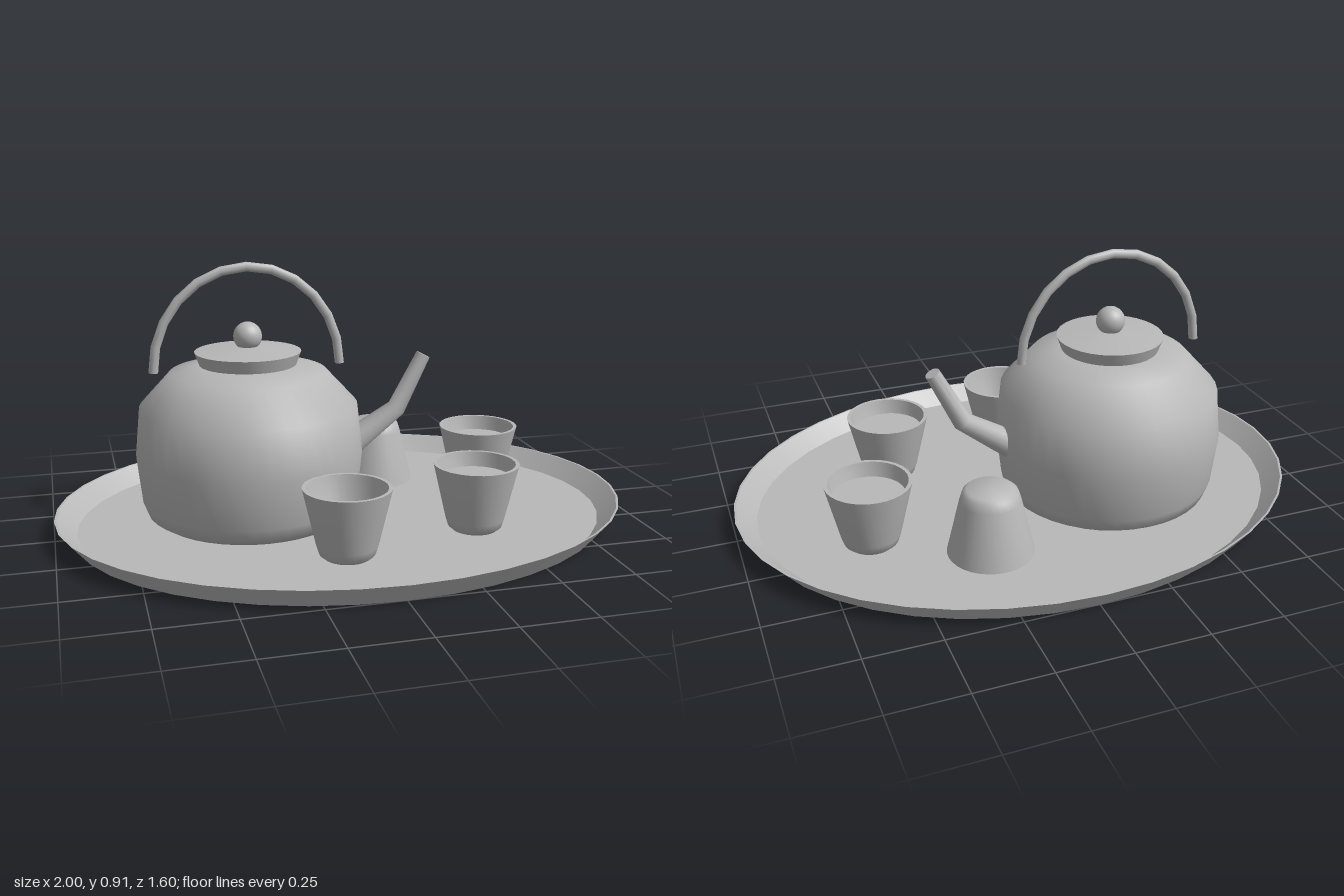
import * as THREE from 'three';
import { toCreasedNormals } from 'three/addons/utils/BufferGeometryUtils.js';

export function createModel() {
  const model = new THREE.Group();
  model.name = 'teaSet';

  const clay = new THREE.MeshStandardMaterial({ color: 0xb8b8b8 });
  clay.name = 'grey clay';

  const add = (name, geometry, parent, x = 0, y = 0, z = 0) => {
    const mesh = new THREE.Mesh(geometry, clay);
    mesh.name = name;
    mesh.position.set(x, y, z);
    parent.add(mesh);
    return mesh;
  };

  // Turned shape from [radius, height] pairs, running up the outside
  const turn = (profile, segments, crease = 0.6, depth = 1) => {
    const points = profile.map(([r, y]) => new THREE.Vector2(r, y));
    const geometry = new THREE.LatheGeometry(points, segments).scale(1, 1, depth);
    return toCreasedNormals(geometry, crease);
  };

  // Oval tray with a flared rim
  const floorY = 0.012;
  add('tray', turn([
    [0, 0], [0.94, 0], [1, 0.07], [0.992, 0.07], [0.927, floorY], [0, floorY],
  ], 40, 0.6, 0.8), model);

  // Kettle
  const kettle = new THREE.Group();
  kettle.name = 'kettle';
  kettle.position.set(-0.315, 0, -0.09);
  model.add(kettle);

  add('kettleBody', turn([
    [0, 0.014], [0.33, 0.014], [0.362, 0.035], [0.379, 0.08], [0.397, 0.245],
    [0.38, 0.412], [0.272, 0.53], [0.17, 0.555], [0, 0.555],
  ], 40, 0.85), kettle);

  add('lid', turn([
    [0, 0.55], [0.167, 0.55], [0.185, 0.6], [0.05, 0.617], [0, 0.617],
  ], 32), kettle);

  add('lidKnob', new THREE.SphereGeometry(0.05, 20, 14), kettle, 0, 0.652, 0);

  // Arched handle with closed ends
  const archPoints = [];
  for (let i = 0; i <= 24; i++) {
    const a = Math.PI * (1 - i / 24);
    archPoints.push(new THREE.Vector3(0.327 * Math.cos(a), 0.54 + 0.352 * Math.sin(a), 0));
  }
  const arch = new THREE.CatmullRomCurve3(archPoints);
  add('handle', new THREE.TubeGeometry(arch, 12, 0.0165, 8), kettle);
  for (const side of [-1, 1]) {
    const cap = add('handleEnd', new THREE.CircleGeometry(0.0165, 8), kettle, side * 0.327, 0.54, 0);
    cap.rotation.x = Math.PI / 2;
  }

  // Bent, tapering spout: a tube whose rings are narrowed along its length
  const spoutPath = [[0.27, 0.175], [0.54, 0.36], [0.64, 0.553]]
    .map(([x, y]) => new THREE.Vector3(x, y, 0));
  const spoutRadii = [0.058, 0.034, 0.026];
  const sides = 16;
  const tilts = [0.6, 0.86, 1.09]; // direction of travel at each ring
  const positions = [];
  const indices = [];
  spoutPath.forEach((p, ring) => {
    for (let i = 0; i < sides; i++) {
      const a = (i / sides) * Math.PI * 2;
      const up = Math.cos(a) * spoutRadii[ring];
      positions.push(
        p.x - Math.sin(tilts[ring]) * up,
        p.y + Math.cos(tilts[ring]) * up,
        Math.sin(a) * spoutRadii[ring],
      );
      if (ring === 2) continue;
      const j = (i + 1) % sides;
      const [a0, b0] = [ring * sides + i, ring * sides + j];
      indices.push(a0, b0, a0 + sides, b0, b0 + sides, a0 + sides);
    }
  });
  for (let i = 1; i < sides - 1; i++) indices.push(2 * sides, 2 * sides + i, 2 * sides + i + 1);
  const spout = new THREE.BufferGeometry();
  spout.setAttribute('position', new THREE.Float32BufferAttribute(positions, 3));
  spout.setIndex(indices);
  add('spout', toCreasedNormals(spout, 0.7), kettle);

  // Cups: two filled, one empty, one upside down
  const cupHeight = 0.233;
  const cupGeometry = turn([
    [0, 0], [0.078, 0], [0.092, 0.012], [0.101, 0.04], [0.146, cupHeight],
    [0.133, cupHeight], [0.092, 0.045], [0.077, 0.022], [0, 0.022],
  ], 32, 0.75);
  const cups = [
    { x: 0.58, z: -0.18, filled: true },
    { x: 0.4, z: 0.265, filled: true },
    { x: -0.09, z: 0.4 },
    { x: 0.22, z: -0.36, upturned: true },
  ];
  for (const { x, z, filled, upturned } of cups) {
    const cup = add('cup', cupGeometry, model, x, floorY + (upturned ? cupHeight : 0), z);
    if (upturned) cup.rotation.x = Math.PI;
    if (filled) {
      const tea = add('tea', new THREE.CircleGeometry(0.124, 32), cup, 0, 0.182, 0);
      tea.rotation.x = -Math.PI / 2;
    }
  }

  return model;
}
